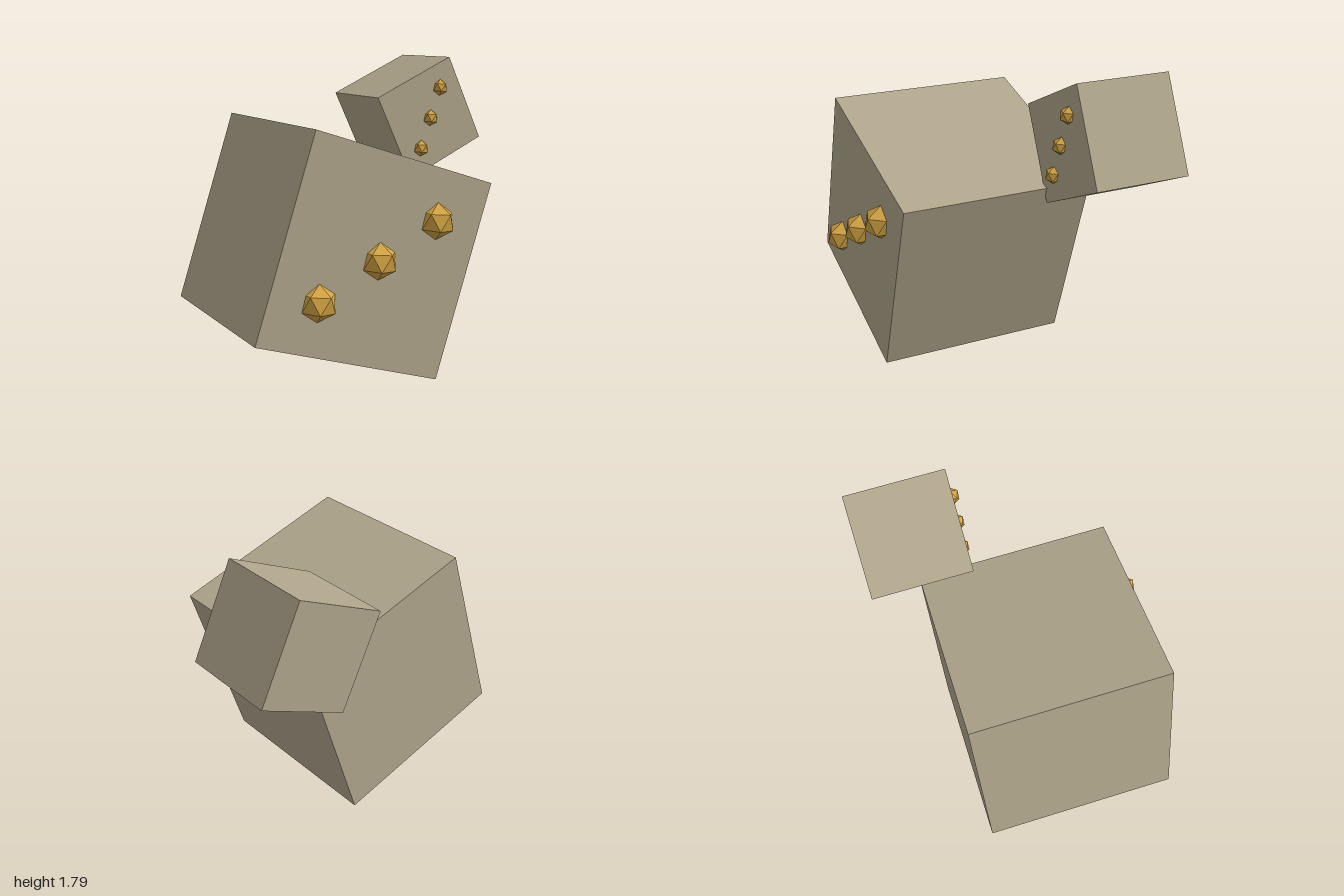
import * as THREE from 'three';

export function createModel() {
  const model = new THREE.Group();
  const stone = new THREE.MeshStandardMaterial({ color: 0xb0a68c });
  stone.name = 'stone';
  const gold = new THREE.MeshStandardMaterial({ color: 0xd4a444 });
  gold.name = 'gold';
  // every face of a stud is flat
  const studShape = new THREE.IcosahedronGeometry(1, 0);

  // a tilted cube with a slanted row of three faceted studs on its front face
  function studdedCube(name, size, center, tilt, step, studRadius) {
    const group = new THREE.Group();
    group.name = name;
    group.position.set(...center);

    const cube = new THREE.Mesh(new THREE.BoxGeometry(size, size, size), stone);
    cube.name = name + 'Body';
    cube.rotation.z = THREE.MathUtils.degToRad(tilt);
    group.add(cube);

    for (const i of [-1, 0, 1]) {
      const stud = new THREE.Mesh(studShape, gold);
      stud.name = name + 'Stud';
      stud.scale.setScalar(studRadius);
      stud.rotation.z = THREE.MathUtils.degToRad(-36);
      stud.position.set(i * step[0], i * step[1], size / 2);
      group.add(stud);
    }
    model.add(group);
  }

  studdedCube('largeCube', 1.163, [-0.267, 0.739, 0.1], -18, [0.368, 0.187], 0.105);
  studdedCube('smallCube', 0.581, [0.61, 1.41, -0.485], 25, [0.07, 0.193], 0.0525);

  return model;
}
